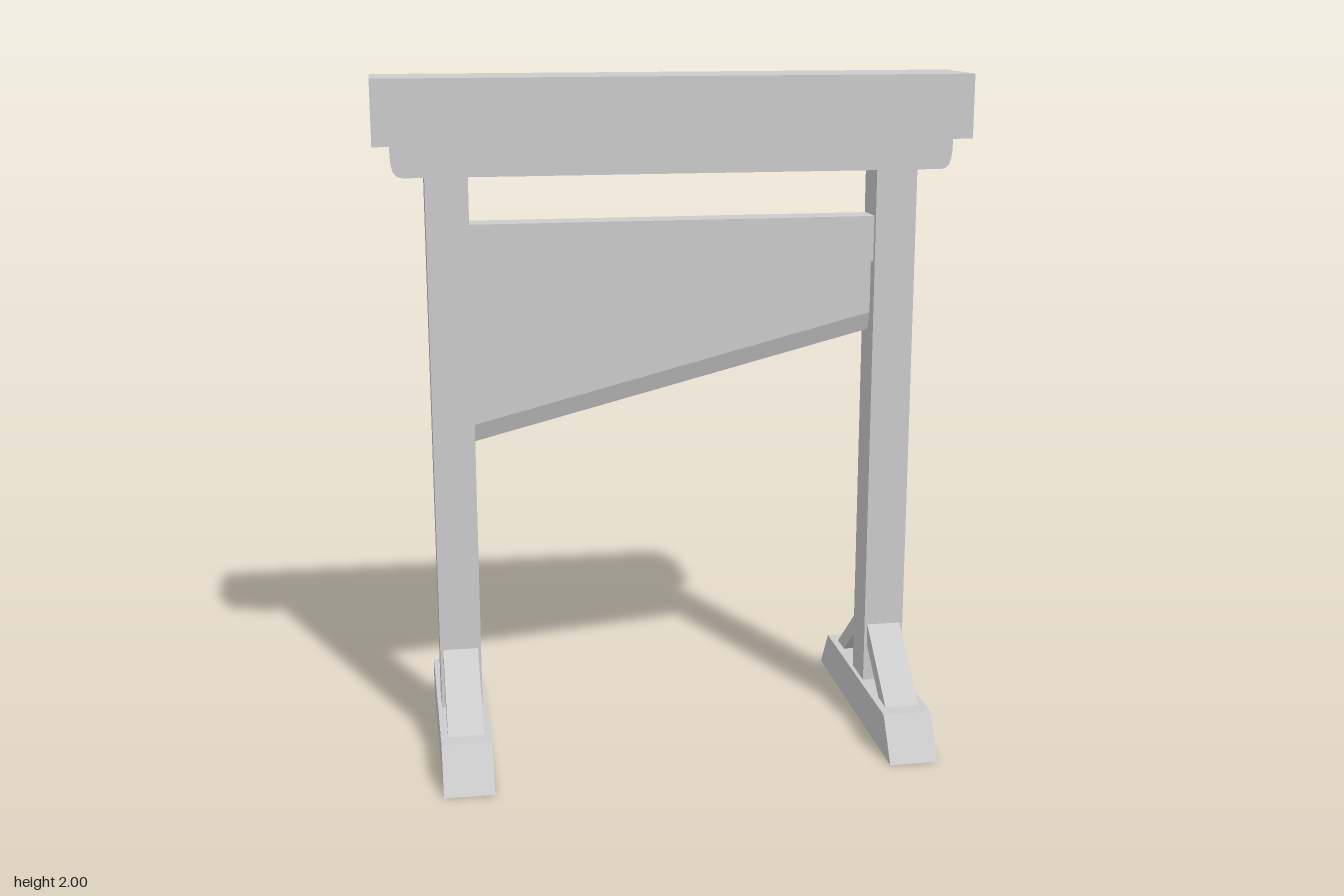
import * as THREE from 'three';
import { toCreasedNormals } from 'three/addons/utils/BufferGeometryUtils.js';

const material = new THREE.MeshStandardMaterial({ color: 0xcccccc });

function add(parent, name, geometry, x = 0, y = 0, z = 0) {
  const mesh = new THREE.Mesh(geometry, material);
  mesh.name = name;
  mesh.position.set(x, y, z);
  parent.add(mesh);
  return mesh;
}

// Box given by its width, bottom, top and depth
function addBox(parent, name, width, bottom, top, depth, x = 0) {
  return add(parent, name, new THREE.BoxGeometry(width, top - bottom, depth), x, (bottom + top) / 2);
}

// Extrusion centred on its own depth
function extrude(shape, depth) {
  return new THREE.ExtrudeGeometry(shape, { depth, bevelEnabled: false, curveSegments: 8 })
    .translate(0, 0, -depth / 2);
}

// Side profile in (z, y) extruded across x
function extrudeAcross(points, width) {
  const shape = new THREE.Shape(points.map(([z, y]) => new THREE.Vector2(-z, y)));
  return extrude(shape, width).rotateY(Math.PI / 2);
}

export function createModel() {
  const model = new THREE.Group();
  model.name = 'bladeFrame';

  // Top beam and the rounded beam below it
  addBox(model, 'topBeam', 1.72, 1.815, 2, 0.26);
  const lower = new THREE.Shape();
  lower.moveTo(-0.812, 1.815);
  lower.bezierCurveTo(-0.812, 1.75, -0.808, 1.725, -0.775, 1.725);
  lower.lineTo(0.775, 1.725);
  lower.bezierCurveTo(0.808, 1.725, 0.812, 1.75, 0.812, 1.815);
  add(model, 'lowerBeam', toCreasedNormals(extrude(lower, 0.19), 0.6));

  // Weight bar between the posts
  addBox(model, 'weightBar', 1.2, 1.45, 1.585, 0.09);

  // Blade: a bevelled section whose lower points rise towards the model's left
  const t = 0.02;
  const blade = extrudeAcross([[-t, 1.46], [-t, 0.99], [0, 0.935], [t, 0.99], [t, 1.46]], 1.2);
  const p = blade.attributes.position;
  for (let i = 0; i < p.count; i++) {
    if (p.getY(i) < 1.4) p.setY(i, p.getY(i) + (p.getX(i) + 0.6) / 1.2 * 0.303);
  }
  blade.computeVertexNormals();
  add(model, 'blade', blade);

  // Posts with feet and diagonal braces
  for (const side of [-1, 1]) {
    const stand = new THREE.Group();
    stand.name = side > 0 ? 'leftStand' : 'rightStand';
    stand.position.x = side * 0.657;
    model.add(stand);
    addBox(stand, 'post', 0.122, 0.125, 1.725, 0.122);
    add(stand, 'foot', extrudeAcross(
      [[-0.417, 0], [0.417, 0], [0.333, 0.125], [-0.333, 0.125]], 0.146));
    for (const [name, s] of [['frontBrace', 1], ['backBrace', -1]]) {
      const brace = [[0.06, 0.31], [0.06, 0.245], [0.205, 0.125], [0.28, 0.125]];
      add(stand, name, extrudeAcross(brace.map(([z, y]) => [s * z, y]), 0.104));
    }
  }
  return model;
}
